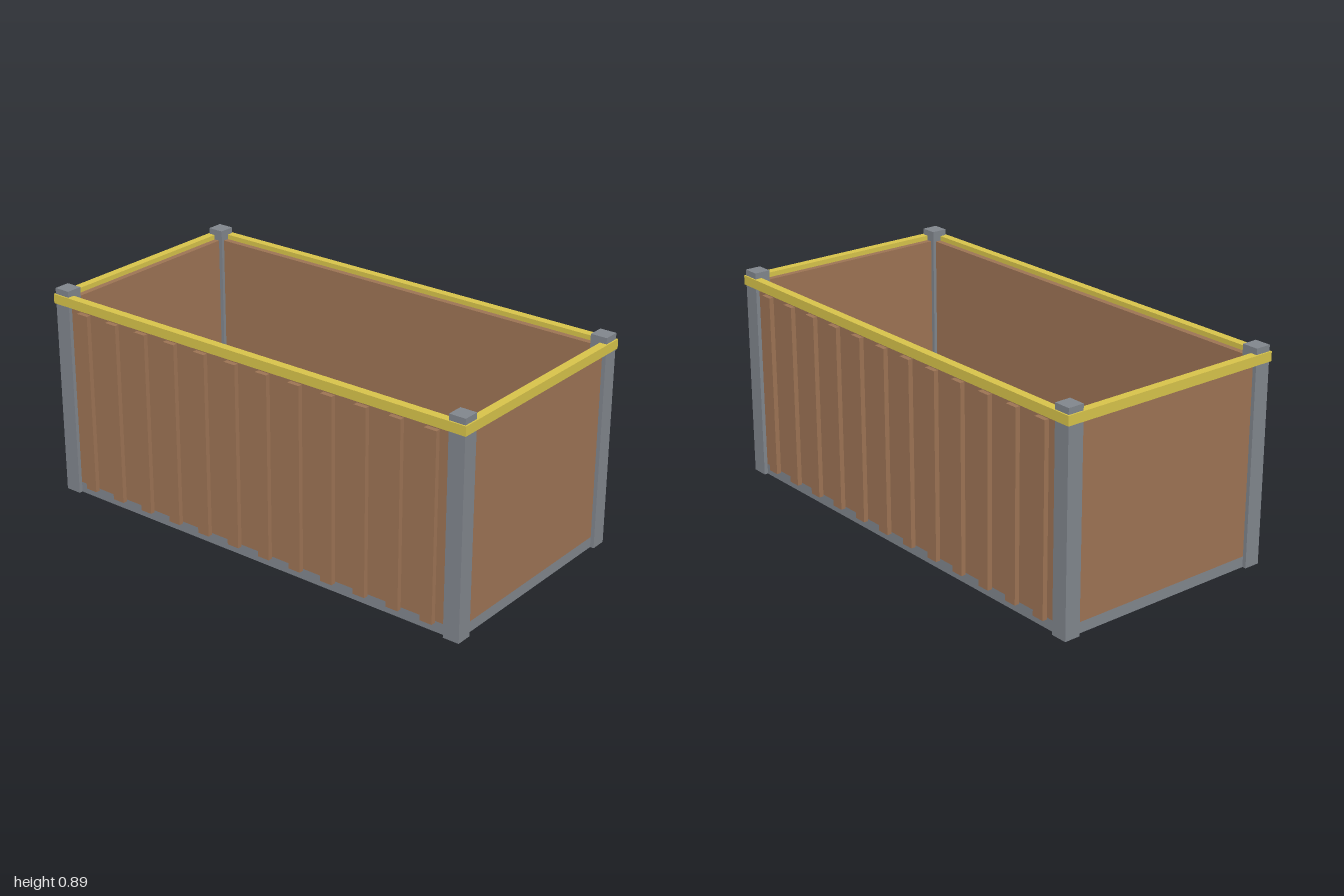
import * as THREE from 'three';

export function createModel() {
  const model = new THREE.Group();
  model.name = 'openTopContainer';
  const material = (color) => new THREE.MeshStandardMaterial({ color, flatShading: true });
  const steel = material(0x80858c);
  const rust = material(0x9c7354);
  const yellow = material(0xd6c24a);

  // Box given by its minimum and maximum corners
  function box(name, mat, [x0, y0, z0], [x1, y1, z1]) {
    const mesh = new THREE.Mesh(new THREE.BoxGeometry(x1 - x0, y1 - y0, z1 - z0), mat);
    mesh.position.set((x0 + x1) / 2, (y0 + y1) / 2, (z0 + z1) / 2);
    mesh.name = name;
    model.add(mesh);
    return mesh;
  }

  // Box at positive x and z, mirrored by the given signs
  function mirrored(name, mat, a, b, sx, sz) {
    const mesh = box(name, mat, a, b);
    mesh.position.x *= sx;
    mesh.position.z *= sz;
  }

  box('floor', steel, [-0.476, 0, -0.976], [0.476, 0.045, 0.976]);

  for (const s of [1, -1]) {
    // Walls standing on the floor
    mirrored('sideWall', rust, [0.438, 0.045, -0.976], [0.476, 0.845, 0.976], s, 1);
    mirrored('endWall', rust, [-0.438, 0.045, 0.938], [0.438, 0.845, 0.976], 1, s);

    // Top rim rails
    mirrored('sideRail', yellow, [0.463, 0.826, -0.998], [0.498, 0.865, 0.998], s, 1);
    mirrored('endRail', yellow, [-0.463, 0.826, 0.963], [0.463, 0.865, 0.998], 1, s);

    // Corner posts rising above the rim
    for (const sz of [1, -1]) {
      mirrored('cornerPost', steel, [0.424, 0, 0.922], [0.492, 0.89, 0.992], s, sz);
    }

    // Vertical ribs on the long sides
    for (let i = 0; i < 12; i++) {
      const z = (i - 5.5) * 0.154;
      mirrored('rib', rust, [0.47, 0.037, z - 0.027], [0.496, 0.81, z + 0.027], s, 1);
    }
  }
  return model;
}
